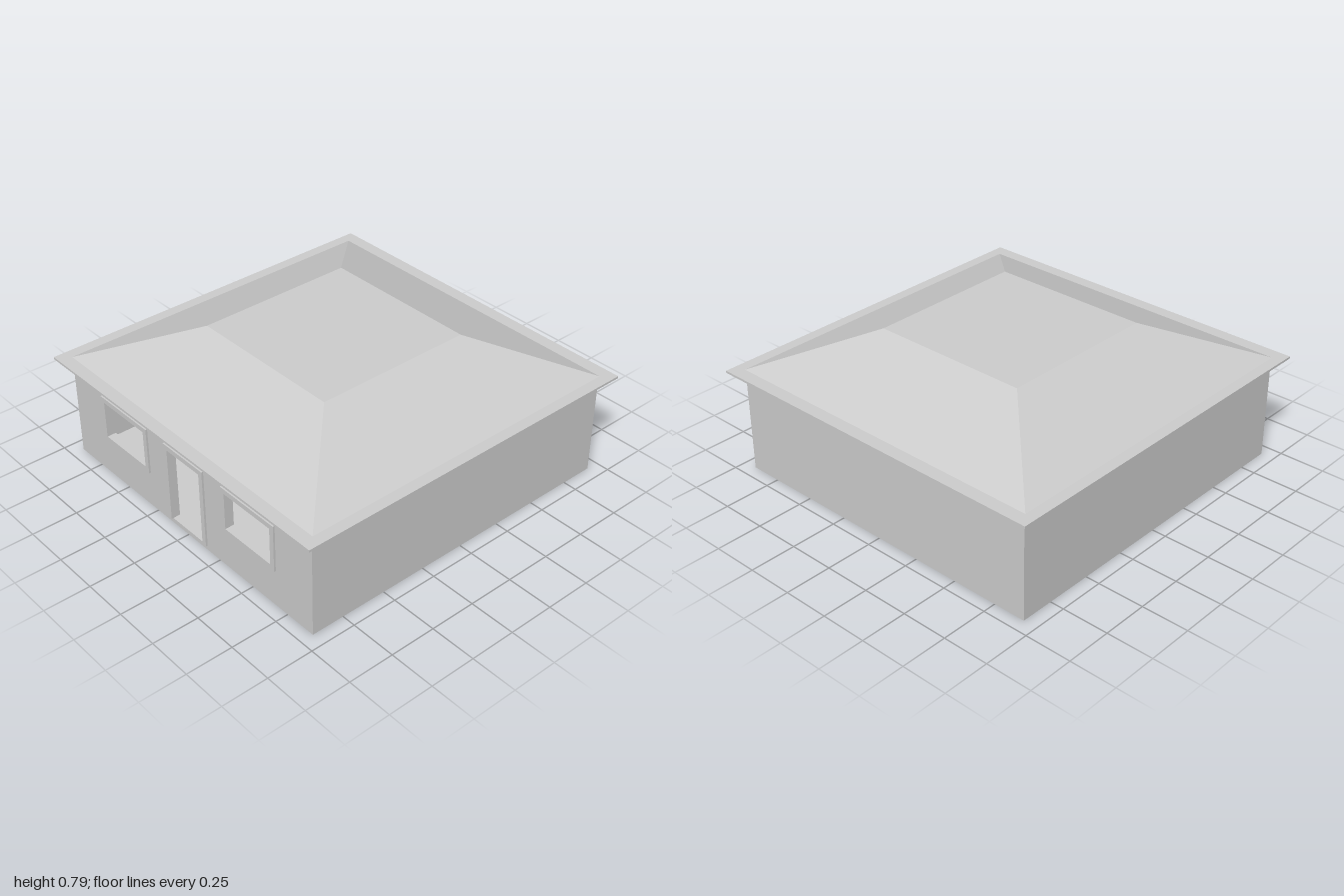
import * as THREE from 'three';

const HALF_X = 0.925, HALF_Z = 0.93; // outer wall faces
const FLOOR = 0.026, WALL_TOP = 0.55, THICK = 0.04;

// openings in the front wall: [name, x0, x1, y0, y1, hasSill]
const OPENINGS = [
  ['rightWindowFrame', -0.65, -0.32, 0.236, 0.442, true],
  ['doorFrame', -0.125, 0.125, FLOOR, 0.442, false],
  ['leftWindowFrame', 0.317, 0.645, 0.236, 0.442, true],
];

const rectPoints = (x0, x1, y0, y1) => [
  [x0, y0], [x1, y0], [x1, y1], [x0, y1],
].map(([x, y]) => new THREE.Vector2(x, y));

export function createModel() {
  const house = new THREE.Group();
  house.name = 'house';
  const grey = new THREE.MeshStandardMaterial({ color: 0xcccccc, flatShading: true });

  const add = (name, geometry, x = 0, y = 0, z = 0, parent = house) => {
    const mesh = new THREE.Mesh(geometry, grey);
    mesh.name = name;
    mesh.position.set(x, y, z);
    parent.add(mesh);
    return mesh;
  };
  const box = (name, x0, x1, y0, y1, z0, z1, parent) =>
    add(name, new THREE.BoxGeometry(x1 - x0, y1 - y0, z1 - z0),
      (x0 + x1) / 2, (y0 + y1) / 2, (z0 + z1) / 2, parent);
  const panel = (outline, holes, depth) => {
    const shape = new THREE.Shape(outline);
    shape.holes = holes.map((h) => new THREE.Path(h));
    return new THREE.ExtrudeGeometry(shape, { depth, bevelEnabled: false });
  };

  // floor and plain walls around a hollow room
  box('floor', -HALF_X, HALF_X, 0, FLOOR, -HALF_Z, HALF_Z);
  box('backWall', -HALF_X, HALF_X, FLOOR, WALL_TOP, -HALF_Z, -HALF_Z + THICK);
  for (const [name, s] of [['leftWall', 1], ['rightWall', -1]]) {
    const a = s * HALF_X, b = s * (HALF_X - THICK);
    box(name, Math.min(a, b), Math.max(a, b), FLOOR, WALL_TOP, -HALF_Z + THICK, HALF_Z - THICK);
  }

  // front wall, notched for the door and pierced by the windows
  const [, dx0, dx1, , doorTop] = OPENINGS[1];
  const outline = [
    [-HALF_X, FLOOR], [dx0, FLOOR], [dx0, doorTop], [dx1, doorTop], [dx1, FLOOR],
    [HALF_X, FLOOR], [HALF_X, WALL_TOP], [-HALF_X, WALL_TOP],
  ].map(([x, y]) => new THREE.Vector2(x, y));
  const windows = OPENINGS.filter((o) => o[5]).map(([, ...r]) => rectPoints(...r.slice(0, 4)));
  add('frontWall', panel(outline, windows, THICK), 0, 0, HALF_Z - THICK);

  // raised trim around every opening
  const trim = 0.027, z0 = HALF_Z, z1 = HALF_Z + 0.01;
  for (const [name, x0, x1, y0, y1, sill] of OPENINGS) {
    const frame = new THREE.Group();
    frame.name = name;
    house.add(frame);
    const bottom = sill ? y0 - trim : y0;
    box('jamb', x0 - trim, x0, bottom, y1 + trim, z0, z1, frame);
    box('jamb', x1, x1 + trim, bottom, y1 + trim, z0, z1, frame);
    box('lintel', x0, x1, y1, y1 + trim, z0, z1, frame);
    if (sill) box('sill', x0, x1, bottom, y0, z0, z1, frame);
  }

  // low table standing inside
  const table = new THREE.Group();
  table.name = 'table';
  house.add(table);
  box('tableTop', -0.25, 0.25, 0.183, 0.198, -0.6, -0.25, table);
  for (const x of [-0.23, 0.23])
    for (const z of [-0.58, -0.27])
      box('tableLeg', x - 0.015, x + 0.015, FLOOR, 0.183, z - 0.015, z + 0.015, table);

  // thin eave slab, floating just above the walls
  box('eaves', -0.99, 0.99, 0.56, 0.572, -1, 1);

  // hipped roof with a flat top
  const roof = new THREE.CylinderGeometry(0.44 * Math.SQRT2, 0.93 * Math.SQRT2, 0.213, 4, 1);
  roof.rotateY(Math.PI / 4);
  add('roof', roof, 0, 0.572 + 0.213 / 2, 0);

  return house;
}
